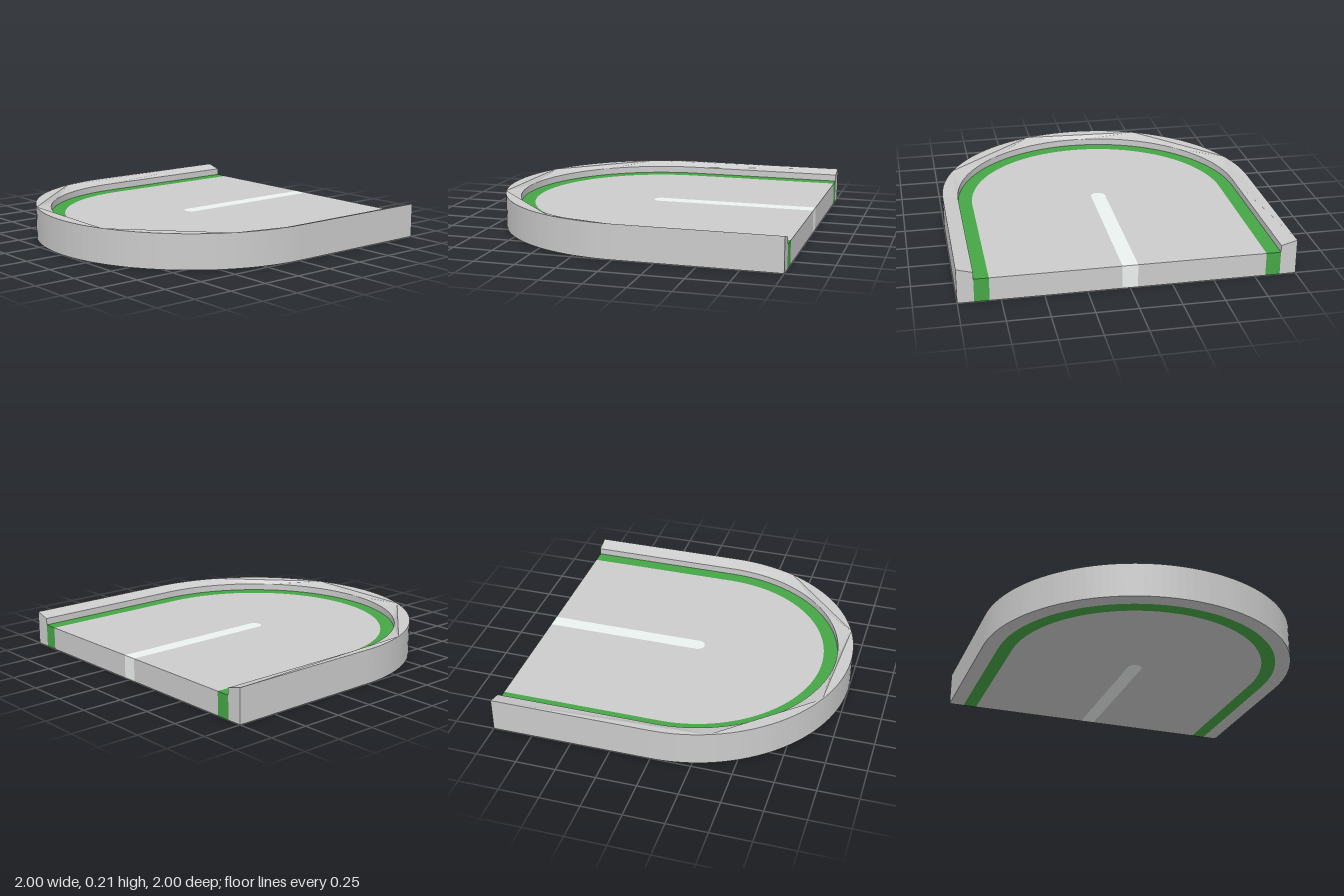
import * as THREE from 'three';

const SEGMENTS = 32;

// U-shaped band open towards +x, between two concentric offsets (inner 0 = solid)
function bandGeometry(outer, inner, height) {
  const shape = new THREE.Shape();
  shape.moveTo(1, outer);
  shape.lineTo(0, outer);
  shape.absarc(0, 0, outer, Math.PI / 2, Math.PI * 1.5, false);
  shape.lineTo(1, -outer);
  if (inner > 0) {
    shape.lineTo(1, -inner);
    shape.lineTo(0, -inner);
    shape.absarc(0, 0, inner, Math.PI * 1.5, Math.PI / 2, true);
    shape.lineTo(1, inner);
  }
  const geometry = new THREE.ExtrudeGeometry(shape, {
    depth: height, bevelEnabled: false, curveSegments: SEGMENTS,
  });
  return geometry.rotateX(-Math.PI / 2);
}

// Lower the inner top edge so the top slopes inwards
function slopeTop(geometry, outer, height, drop) {
  const p = geometry.attributes.position;
  for (let i = 0; i < p.count; i++) {
    const r = p.getX(i) > 0 ? Math.abs(p.getZ(i)) : Math.hypot(p.getX(i), p.getZ(i));
    if (p.getY(i) > height - 0.001 && r < outer - 0.05) p.setY(i, height - drop);
  }
  geometry.computeVertexNormals();
  return geometry;
}

export function createModel() {
  const group = new THREE.Group();
  const add = (name, geometry, color) => {
    const material = new THREE.MeshStandardMaterial({ color });
    material.flatShading = true;
    const mesh = new THREE.Mesh(geometry, material);
    mesh.name = name;
    group.add(mesh);
  };

  const floorHeight = 0.144;
  const rimHeight = 0.213;

  // Raised outer wall with a sloping top
  add('rim', slopeTop(bandGeometry(1, 0.903, rimHeight), 1, rimHeight, 0.026), 0xcccccc);
  // Coloured strip just inside the wall
  add('greenBorder', bandGeometry(0.903, 0.815, floorHeight), 0x46a646);
  // Main floor around the centre strip
  add('floor', bandGeometry(0.815, 0.046, floorHeight), 0xcccccc);
  // Pale strip with a rounded end
  add('centreStrip', bandGeometry(0.046, 0, floorHeight), 0xecf2f0);

  return group;
}
